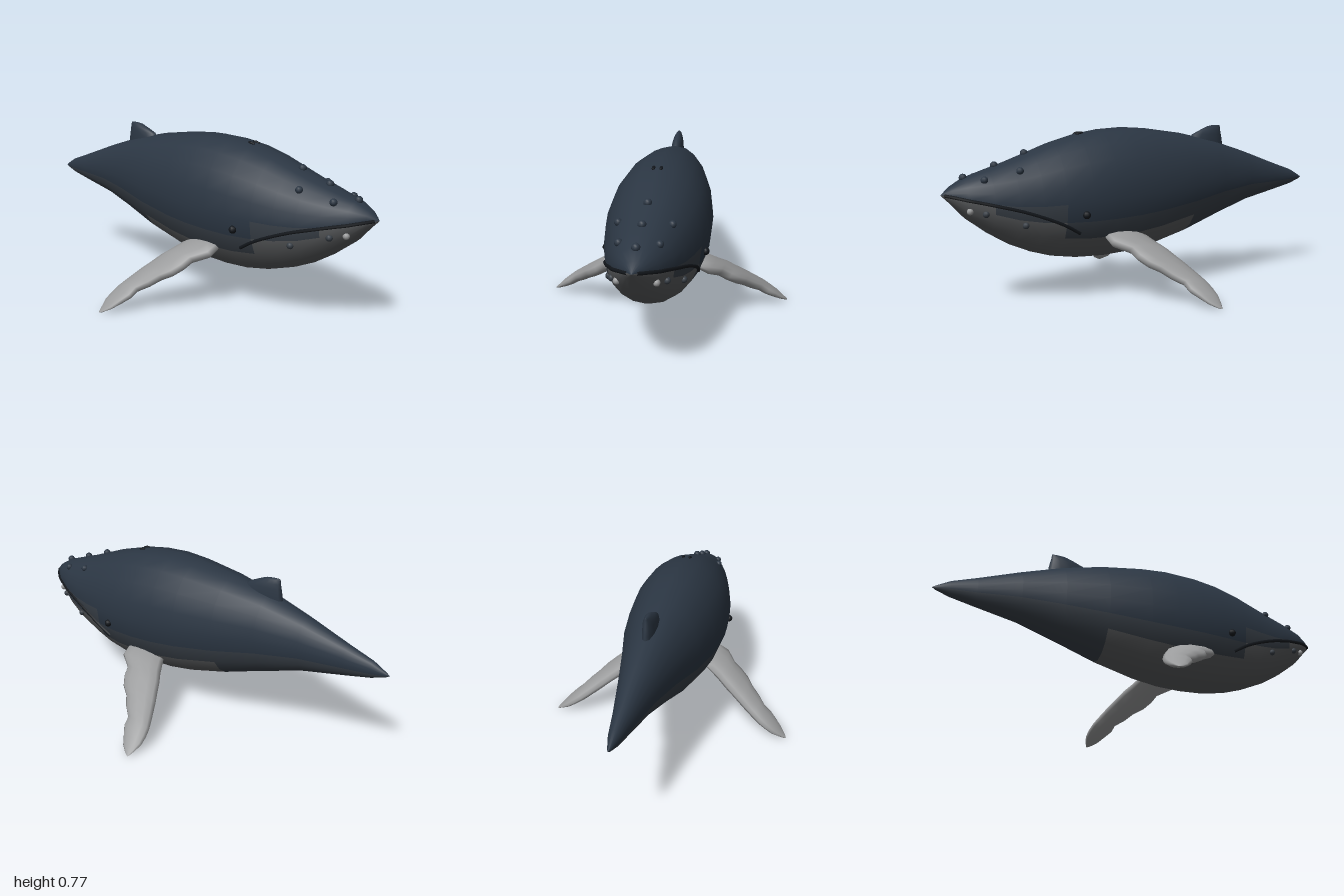
import * as THREE from 'three';

const SIDES = 20;
// Body stations: x, top y, bottom y, half width
const BODY = [
  [-1, 0.485, 0.485, 0], [-0.985, 0.495, 0.475, 0.008], [-0.92, 0.53, 0.452, 0.026], [-0.8, 0.57, 0.425, 0.046],
  [-0.6, 0.64, 0.383, 0.085], [-0.4, 0.702, 0.318, 0.13], [-0.2, 0.745, 0.25, 0.182],
  [0, 0.772, 0.198, 0.217], [0.13, 0.78, 0.176, 0.231], [0.26, 0.772, 0.169, 0.236],
  [0.38, 0.752, 0.173, 0.23], [0.5, 0.718, 0.192, 0.212], [0.6, 0.68, 0.222, 0.19],
  [0.7, 0.643, 0.265, 0.165], [0.8, 0.61, 0.325, 0.135], [0.9, 0.576, 0.4, 0.09],
  [0.96, 0.541, 0.466, 0.045], [1, 0.505, 0.505, 0],
];

const material = (color) => new THREE.MeshStandardMaterial({ color, roughness: 0.8 });
const MAT = {
  back: material(0x2b3643), flank: material(0x373e46), belly: material(0x57595b),
  flipper: material(0x9a9b9c), black: material(0x12161b), pale: material(0x9a9b9c),
};

function add(parent, name, geometry, mat) {
  const mesh = new THREE.Mesh(geometry, mat);
  mesh.name = name;
  parent.add(mesh);
  return mesh;
}

// Skin a list of equal rings; keep(i, j) picks which faces to show
function loft(rings, keep = () => true) {
  const n = rings[0].length, all = [], kept = [];
  for (let i = 0; i < rings.length - 1; i++) {
    for (let j = 0; j < n; j++) {
      const k = (j + 1) % n;
      const a = i * n + j, b = i * n + k, c = a + n, d = b + n;
      all.push(a, b, c, b, d, c);
      if (keep(i, j)) kept.push(a, b, c, b, d, c);
    }
  }
  const g = new THREE.BufferGeometry().setFromPoints(rings.flat());
  g.setIndex(all);
  g.computeVertexNormals();
  g.setIndex(kept);
  return g;
}

const ring = (n, point) => Array.from({ length: n }, (_, j) => point((j / n) * Math.PI * 2));

// Body centre height, half height and half width at x
function section(x) {
  let i = 0;
  while (i < BODY.length - 2 && BODY[i + 1][0] < x) i++;
  const [a, b] = [BODY[i], BODY[i + 1]];
  const [top, bottom, w] = [1, 2, 3].map((k) => THREE.MathUtils.mapLinear(x, a[0], b[0], a[k], b[k]));
  return { c: (top + bottom) / 2, h: (top - bottom) / 2, w };
}
const arc = (t) => Math.sqrt(Math.max(0, 1 - t * t));
const onBack = (x, z) => {
  const s = section(x);
  return new THREE.Vector3(x, s.c + s.h * arc(z / s.w), z);
};
const onSide = (x, y, side) => {
  const s = section(x);
  return new THREE.Vector3(x, y, side * s.w * arc((y - s.c) / s.h));
};

function makeBody() {
  const group = new THREE.Group();
  group.name = 'body';
  const rings = BODY.map(([x, top, bottom, w]) => ring(SIDES, (a) => new THREE.Vector3(
    x, (top + bottom) / 2 + ((top - bottom) / 2) * Math.cos(a), w * Math.sin(a))));
  // Tone of each strip: dark back, softer flank, grey throat and belly
  const tone = (i, j) => {
    const fromTop = j < SIDES / 2 ? j : SIDES - 1 - j;
    const x = BODY[i][0];
    if (fromTop >= (x >= 0.8 ? 5 : x >= 0.5 ? 6 : 7) && x >= -0.2) return 'belly';
    return fromTop >= (x >= 0.5 ? 5 : 6) ? 'flank' : 'back';
  };
  for (const name of ['back', 'flank', 'belly']) {
    add(group, name, loft(rings, (i, j) => tone(i, j) === name), MAT[name]);
  }
  return group;
}

// Flipper stations: distance out, height, trailing x, leading x, half thickness
const FLIPPER = [
  [0.13, 0.3, 0.12, 0.27, 0.02], [0.19, 0.28, 0.085, 0.31, 0.036], [0.235, 0.255, 0.06, 0.305, 0.038],
  [0.28, 0.226, 0.03, 0.235, 0.038], [0.32, 0.199, 0.008, 0.22, 0.037], [0.36, 0.172, -0.015, 0.19, 0.036],
  [0.39, 0.15, -0.03, 0.145, 0.034], [0.43, 0.122, -0.05, 0.11, 0.032], [0.465, 0.097, -0.066, 0.065, 0.029],
  [0.5, 0.073, -0.075, 0.058, 0.025], [0.535, 0.049, -0.077, 0.03, 0.02], [0.57, 0.027, -0.066, 0.002, 0.013],
  [0.592, 0.012, -0.057, -0.03, 0.006], [0.6, 0.006, -0.05, -0.05, 0],
];

function makeFlipper(side) {
  const rings = FLIPPER.map(([z, y, trail, lead, t]) => ring(12, (a) => {
    const c = Math.cos(a), s = Math.sin(a) * side;
    return new THREE.Vector3((trail + lead) / 2 + ((lead - trail) / 2) * c,
      y + t * 0.84 * s + t * 0.35 * c, side * (z + t * 0.5 * s * (z < 0.55 ? 1 : 0)));
  }));
  return loft(rings);
}

// Back fin, stacked upward: height, rear x, front x, half width
function makeFin() {
  const levels = [
    [0.64, -0.47, -0.2, 0.034], [0.7, -0.464, -0.25, 0.031], [0.735, -0.457, -0.28, 0.027],
    [0.757, -0.452, -0.33, 0.021], [0.774, -0.45, -0.37, 0.012], [0.78, -0.449, -0.405, 0.004],
    [0.78, -0.43, -0.43, 0],
  ];
  return loft(levels.map(([y, rear, front, w]) => ring(12, (a) => new THREE.Vector3(
    (rear + front) / 2 + ((front - rear) / 2) * Math.sin(a), y, w * Math.cos(a)))));
}

function addBump(parent, name, p, r, mat) {
  add(parent, name, new THREE.SphereGeometry(r, 10, 7), mat).position.copy(p);
}

export function createModel() {
  const model = new THREE.Group();
  model.name = 'whale';
  model.add(makeBody());
  add(model, 'backFin', makeFin(), MAT.back);

  // Bumps along the middle of the snout
  for (const x of [0.62, 0.76, 0.9]) addBump(model, 'snoutBump', onBack(x, 0), 0.018, MAT.back);

  const mouth = [[0.435, 0.32], [0.5, 0.358], [0.57, 0.39], [0.68, 0.43], [0.78, 0.457],
    [0.85, 0.474], [0.9, 0.485], [0.95, 0.497], [0.985, 0.504]];
  for (const side of [1, -1]) {
    const label = side > 0 ? 'front' : 'rear';
    add(model, label + 'Flipper', makeFlipper(side), MAT.flipper);

    // Mouth line hugging the head
    const path = new THREE.CatmullRomCurve3(mouth.map(([x, y]) => onSide(x, y, side)));
    add(model, label + 'MouthLine', new THREE.TubeGeometry(path, 40, 0.008, 6), MAT.black);

    addBump(model, label + 'Eye', onSide(0.415, 0.405, side), 0.018, MAT.black);

    // Blowhole slit
    const slit = add(model, label + 'Blowhole', new THREE.SphereGeometry(1, 10, 6), MAT.black);
    slit.scale.set(0.02, 0.006, 0.008);
    slit.position.copy(onBack(0.353, side * 0.017));
    slit.rotation.z = -0.2;

    // Paired bumps on the snout and chin
    for (const [x, z] of [[0.68, 0.11], [0.83, 0.08]]) {
      addBump(model, 'snoutBump', onBack(x, side * z), 0.017, MAT.back);
    }
    for (const [x, y, mat] of [[0.675, 0.37, MAT.flank], [0.835, 0.425, MAT.flank], [0.895, 0.437, MAT.pale]]) {
      addBump(model, 'chinBump', onSide(x, y, side), 0.015, mat);
    }
  }
  return model;
}
